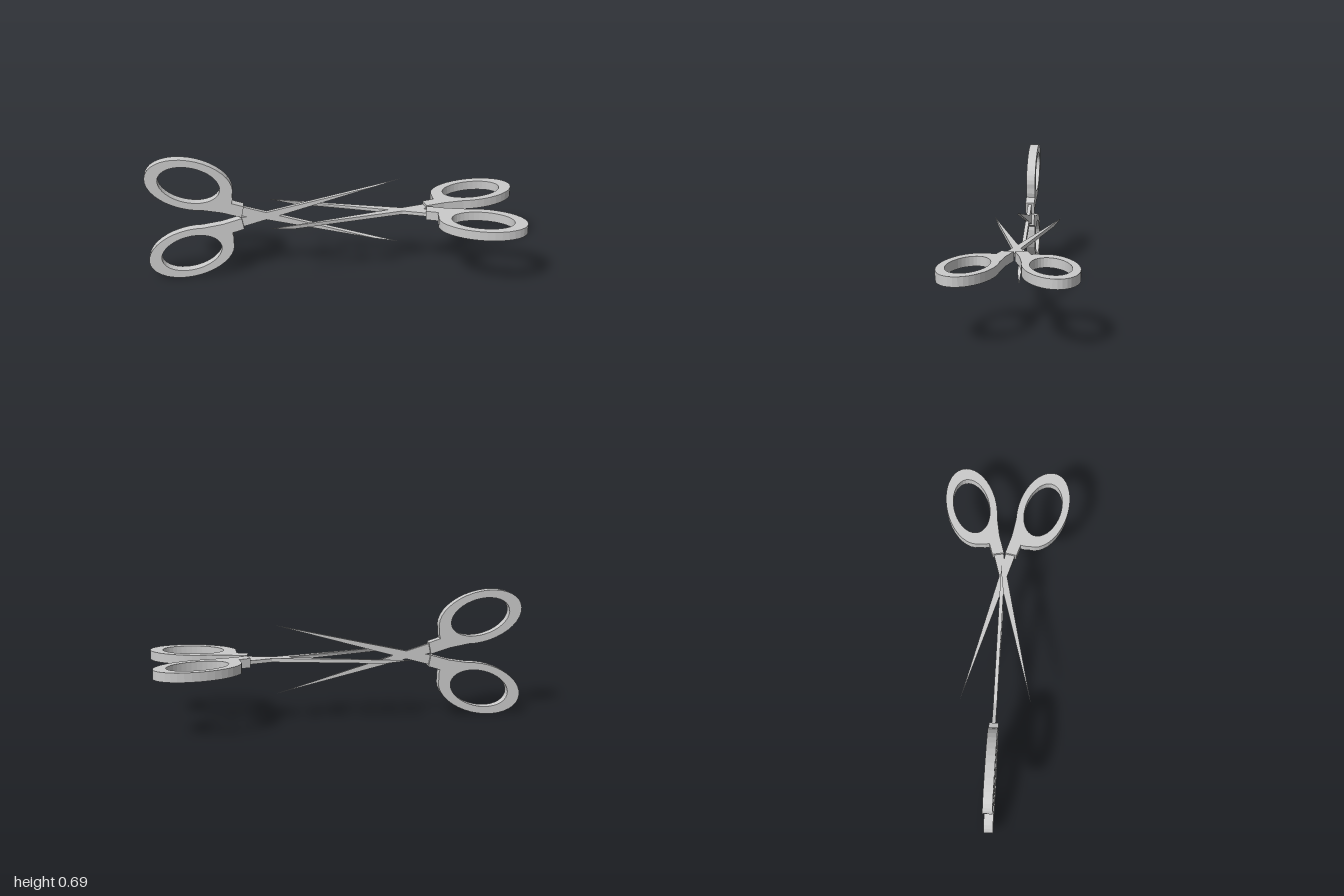
import * as THREE from 'three';

const material = new THREE.MeshStandardMaterial({ color: 0xcccccc, flatShading: true });
const MID = 0.3455; // height of the scissors' centre line

// Slab of a given thickness, centred on its own plane
function slab(shape, thickness) {
  const geometry = new THREE.ExtrudeGeometry(shape, { depth: thickness, bevelEnabled: false });
  return geometry.translate(0, 0, -thickness / 2);
}

// Mirrors points for side -1, keeping them counterclockwise
function mirror(points, side) {
  const result = points.map((p) => new THREE.Vector2(p.x, p.y * side));
  return side > 0 ? result : result.reverse();
}

// Finger ring with its shank; side = 1 is the upper one, -1 its mirror image
function handleGeometry(side) {
  const centre = new THREE.Vector2(-0.77, 0.199), tilt = -Math.PI / 12;
  const ellipse = (a, b, from, to, count) => Array.from({ length: count + 1 }, (_, i) => {
    const t = THREE.MathUtils.degToRad(from + (to - from) * i / count);
    return new THREE.Vector2(a * Math.cos(t), b * Math.sin(t))
      .rotateAround(new THREE.Vector2(), tilt).add(centre);
  });
  const shank = [[-0.6, 0.034], [-0.497, 0.003], [-0.485, 0.066], [-0.548, 0.086], [-0.543, 0.108]]
    .map(([x, y]) => new THREE.Vector2(x, y));
  const shape = new THREE.Shape(mirror([...ellipse(0.235, 0.138, 0, 295, 30), ...shank], side));
  shape.holes.push(new THREE.Path(mirror(ellipse(0.166, 0.099, 0, 350, 35), side)));
  return slab(shape, 0.05);
}

// Tapering blade; the front of the tip is drawn back to bevel the cutting edge
function bladeGeometry(side) {
  const outline = [[-0.51, 0.064], [-0.51, 0.008], [-0.375, -0.019], [0.352, -0.187]]
    .map(([x, y]) => new THREE.Vector2(x, y));
  const geometry = slab(new THREE.Shape(mirror(outline, side)), 0.02);
  const p = geometry.attributes.position;
  for (let i = 0; i < p.count; i++) {
    if (p.getX(i) > 0.3 && p.getZ(i) > 0) p.setXY(i, 0.22, -0.155 * side);
  }
  geometry.computeVertexNormals();
  return geometry;
}

// One open pair: two mirrored halves crossing at the pivot
function createScissors(name) {
  const scissors = new THREE.Group();
  scissors.name = name;
  for (const side of [1, -1]) {
    const half = new THREE.Group();
    half.name = side > 0 ? 'firstHalf' : 'secondHalf';
    const handle = new THREE.Mesh(handleGeometry(side), material);
    handle.name = 'handle';
    const blade = new THREE.Mesh(bladeGeometry(side), material);
    blade.name = 'blade';
    half.add(handle, blade);
    scissors.add(half);
  }
  scissors.position.y = MID;
  return scissors;
}

export function createModel() {
  const model = new THREE.Group();
  model.name = 'interlockedScissors';
  const upright = createScissors('uprightScissors');
  // The second pair lies flat and points the other way
  const flat = createScissors('flatScissors');
  flat.rotation.set(Math.PI / 2, 0, Math.PI);
  model.add(upright, flat);
  return model;
}
